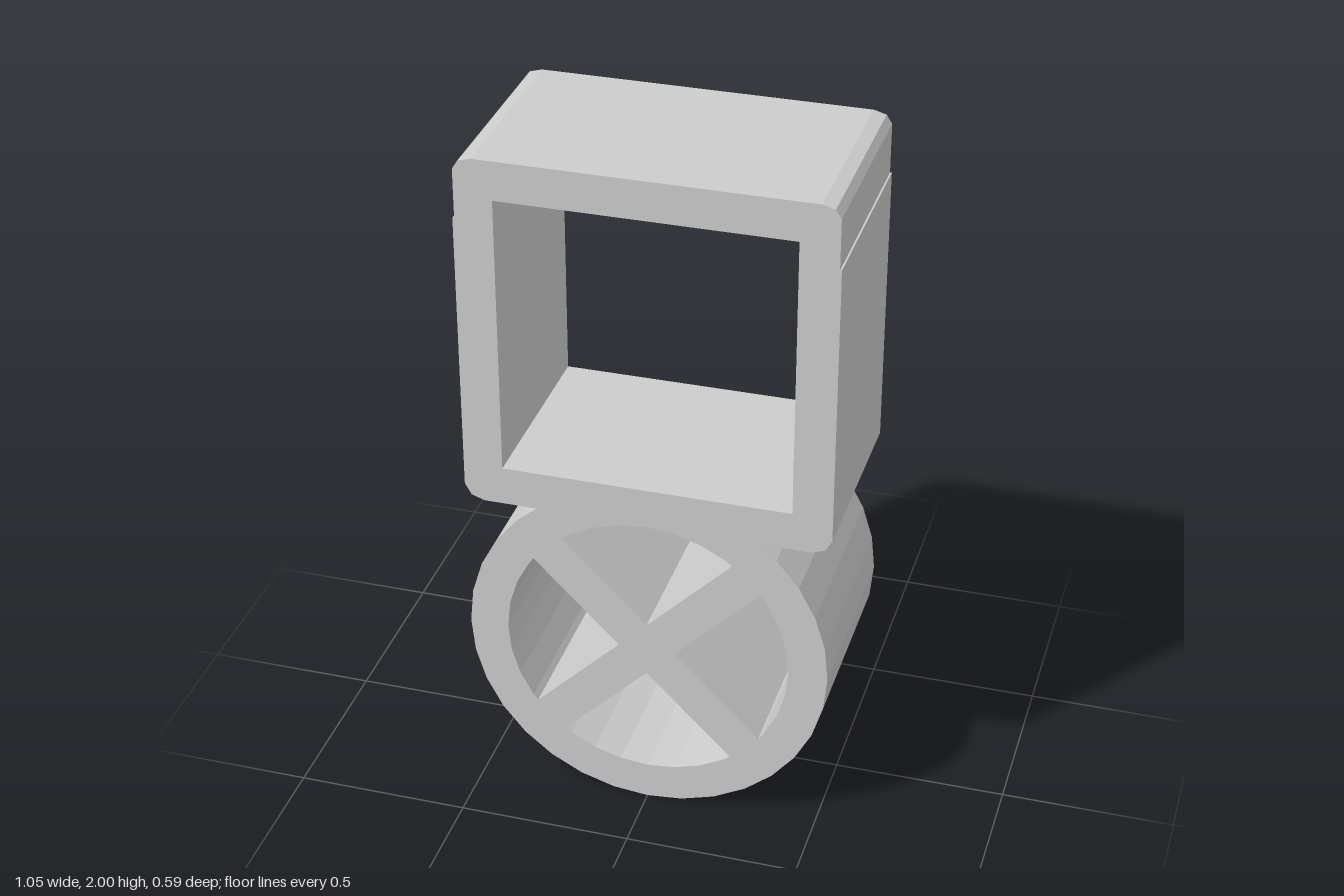
import * as THREE from 'three';

const DEPTH = 0.587;
const SEGMENTS = 32;
const CENTRE_Y = 0.527;
const OUTER_R = 0.527;
const INNER_R = 0.414;
const SPOKE_HALF = 0.0585;

const points = (list) => list.map(([x, y]) => new THREE.Vector2(x, y));

// Extrude an outline with holes, centred on z = 0
function slab(outline, holes) {
  const shape = new THREE.Shape(points(outline));
  for (const hole of holes) shape.holes.push(new THREE.Path(points(hole)));
  const geometry = new THREE.ExtrudeGeometry(shape, { depth: DEPTH, bevelEnabled: false });
  return geometry.translate(0, 0, -DEPTH / 2);
}

// Square tube with small faceted corners, a hair narrower near the top
function squareTube() {
  const half = [
    [0.47, 0.945], [0.508, 0.958], [0.527, 0.992],
    [0.527, 1.82], [0.522, 1.82], [0.522, 1.965], [0.506, 1.99], [0.47, 2],
  ];
  const mirrored = half.map(([x, y]) => [-x, y]).reverse();
  const hole = [[-0.414, 1.06], [-0.414, 1.886], [0.414, 1.886], [0.414, 1.06]];
  return slab([...half, ...mirrored], [hole]);
}

// Faceted round tube whose cross-shaped web leaves four openings
function roundTube() {
  const step = (Math.PI * 2) / SEGMENTS;
  const at = (r, a) => [r * Math.cos(a), r * Math.sin(a)];
  const outline = [];
  for (let i = 0; i < SEGMENTS; i++) outline.push(at(OUTER_R, i * step));

  const offset = Math.asin(SPOKE_HALF / INNER_R);
  const holes = [];
  for (let q = 0; q < 4; q++) {
    const middle = (q * Math.PI) / 2;
    const reach = Math.PI / 4 - offset;
    const hole = [at(SPOKE_HALF * Math.SQRT2, middle), at(INNER_R, middle - reach)];
    for (let k = -3; k <= 3; k++) hole.push(at(INNER_R, middle + k * step));
    hole.push(at(INNER_R, middle + reach));
    holes.push(hole);
  }
  return slab(outline, holes).translate(0, CENTRE_Y, 0);
}

export function createModel() {
  const grey = new THREE.MeshStandardMaterial({ color: 0xcccccc });
  grey.name = 'light grey';

  const model = new THREE.Group();
  model.name = 'doubleTubeBracket';
  const parts = { squareTube: squareTube(), crossWebRoundTube: roundTube() };
  for (const [name, geometry] of Object.entries(parts)) {
    const mesh = new THREE.Mesh(geometry, grey);
    mesh.name = name;
    model.add(mesh);
  }
  return model;
}
